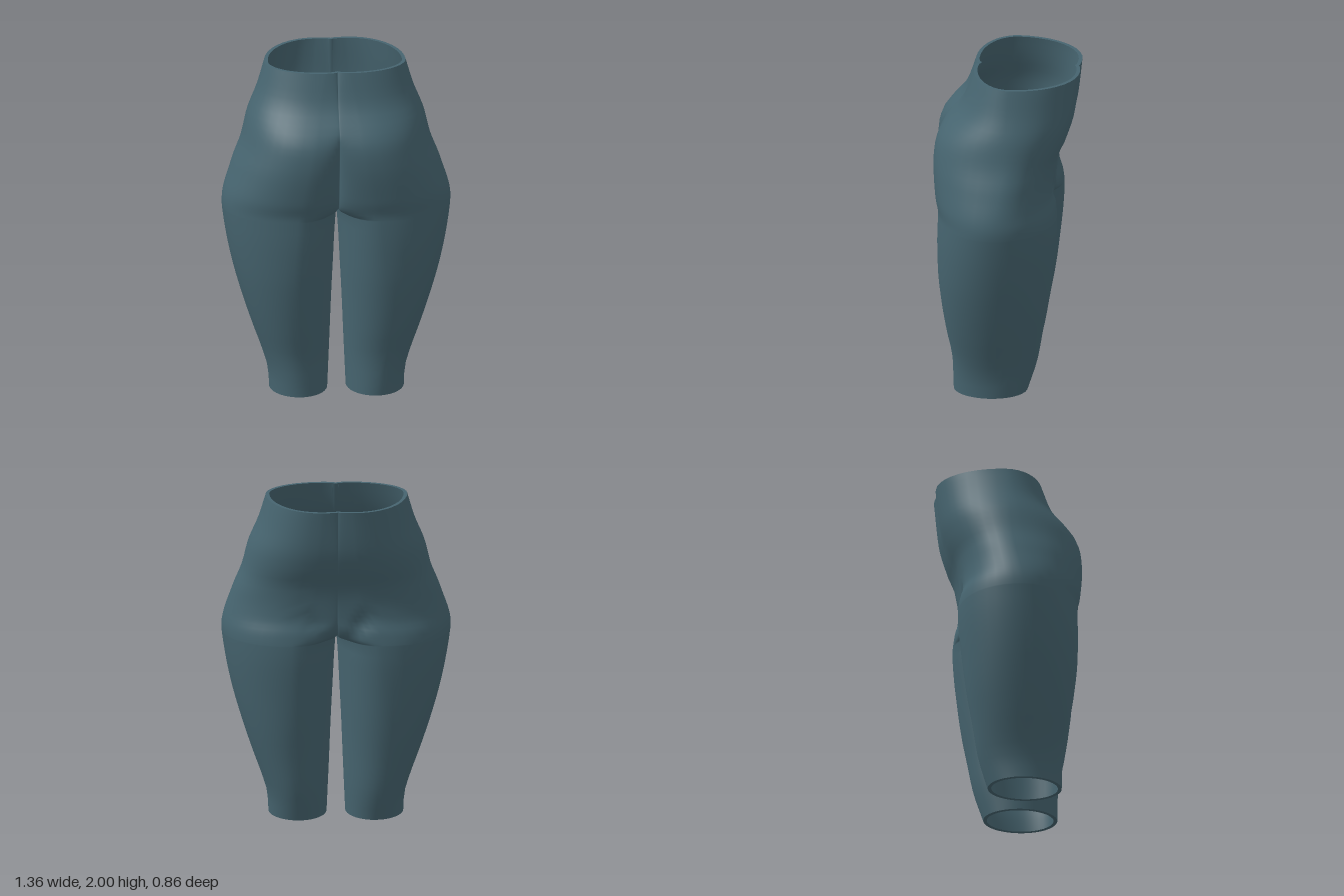
import * as THREE from 'three';
import { mergeVertices } from 'three/addons/utils/BufferGeometryUtils.js';

const CROTCH = 1.13, WALL = 0.022;

// Smooth lookup through [height, value] pairs (monotone cubic)
function profile(...p) {
  const n = p.length;
  const d = p.slice(1).map((q, i) => (q[1] - p[i][1]) / (q[0] - p[i][0]));
  const m = p.map((_, i) => {
    if (i === 0) return d[0];
    if (i === n - 1) return d[n - 2];
    return d[i - 1] * d[i] <= 0 ? 0 : (2 * d[i - 1] * d[i]) / (d[i - 1] + d[i]);
  });
  return (y) => {
    let i = 0;
    while (i < n - 2 && y > p[i + 1][0]) i++;
    const h = p[i + 1][0] - p[i][0], t = (y - p[i][0]) / h, s = 1 - t;
    return p[i][1] * (1 + 2 * t) * s * s + m[i] * h * t * s * s
      + p[i + 1][1] * t * t * (3 - 2 * t) - m[i + 1] * h * t * t * s;
  };
}

// Outer hip and thigh width, and the gap between the legs
const outerX = profile([0, 0.4], [0.1, 0.405], [0.2, 0.43], [0.4, 0.5], [0.6, 0.565], [0.8, 0.62],
  [1, 0.66], [1.17, 0.68], [1.4, 0.62], [1.55, 0.562], [1.7, 0.525], [1.85, 0.465], [2, 0.42]);
const innerX = profile([0, 0.055], [0.3, 0.042], [0.6, 0.03], [0.8, 0.02], [1, 0.01], [CROTCH, 0]);
// Fullest depth at the back (+z) and the front (-z)
const backZ = profile([0, 0.31], [0.2, 0.315], [0.4, 0.35], [0.6, 0.38], [0.8, 0.4], [1, 0.405],
  [1.15, 0.4], [1.25, 0.418], [1.45, 0.433], [1.55, 0.425], [1.63, 0.4], [1.7, 0.35], [1.8, 0.27], [2, 0.2]);
const frontZ = profile([0, -0.13], [0.2, -0.19], [0.4, -0.225], [0.6, -0.26], [0.8, -0.285], [1, -0.305],
  [1.1, -0.31], [1.2, -0.3], [1.28, -0.282], [1.4, -0.29], [1.5, -0.31], [1.6, -0.355], [1.75, -0.4], [2, -0.43]);
// Where across the width those depths, and the widest point, are found
const backX = profile([0, 0.225], [0.6, 0.28], [1.1, 0.25], [1.5, 0.18], [2, 0.08]);
const frontX = profile([0, 0.225], [0.6, 0.28], [1.15, 0.27], [1.4, 0.16], [2, 0.1]);
const sideZ = profile([0, 0.09], [CROTCH, 0.06], [1.5, 0], [2, -0.03]);
// Centre line of the torso: cleft at the back, belly at the front
const centreBackZ = profile([CROTCH, 0.06], [1.15, 0.19], [1.19, 0.27], [1.25, 0.3], [1.4, 0.33], [1.55, 0.365],
  [1.65, 0.375], [1.7, 0.345], [1.8, 0.262], [2, 0.18]);
const centreFrontZ = profile([CROTCH, 0.06], [1.145, -0.1], [1.18, -0.2], [1.25, -0.262], [1.4, -0.285],
  [1.5, -0.31], [1.6, -0.352], [1.75, -0.395], [2, -0.415]);

// One half's cross-section, from back centre round the outside to front centre
function section(y) {
  const torso = y >= CROTCH;
  const w = outerX(y), zs = sideZ(y), xi = torso ? 0 : innerX(y);
  const pts = [];
  const quarter = (px, z, endX, endZ, n, reverse, skip) => {
    for (let k = skip ? 1 : 0; k <= n; k++) {
      const a = ((reverse ? n - k : k) / n) * Math.PI / 2;
      pts.push([px + (endX - px) * Math.sin(a), y, endZ + (z - endZ) * Math.cos(a)]);
    }
  };
  const bx = backX(y), bz = backZ(y), fx = frontX(y), fz = frontZ(y);
  quarter(bx, bz, xi, torso ? centreBackZ(y) : zs, 9, true, false);
  quarter(bx, bz, w, zs, 10, false, true);
  quarter(fx, fz, w, zs, 10, true, true);
  quarter(fx, fz, xi, torso ? centreFrontZ(y) : zs, 9, false, true);
  // Groin crease running up and outward across the front
  const fade = Math.max(0, 1 - Math.abs(y - 1.25) / 0.17);
  for (const p of pts) {
    if (p[2] > -0.1) continue;
    const off = (p[0] - 0.08 - (y - 1.15) * 0.6) / 0.045;
    p[2] += 0.025 * fade * Math.exp(-off * off);
  }
  return pts;
}

// Outer skin: two mirrored halves welded along the centre line
function skin() {
  const heights = [];
  for (let i = 0; i < 16; i++) heights.push(CROTCH * i / 16);
  for (let i = 0; i <= 26; i++) heights.push(CROTCH + (2 - CROTCH) * Math.pow(i / 26, 1.5));
  const rows = heights.map(section), n = rows[0].length;
  const pos = [], index = [];
  for (const side of [1, -1]) {
    const base = pos.length / 3;
    for (const row of rows) for (const [x, y, z] of row) pos.push(x * side, y, z);
    for (let j = 0; j < rows.length - 1; j++) {
      for (let i = 0; i < n - 1; i++) {
        const a = base + j * n + i, b = a + 1, c = b + n, d = a + n;
        if (side > 0) index.push(a, b, c, a, c, d);
        else index.push(a, c, b, a, d, c);
      }
    }
  }
  const g = new THREE.BufferGeometry();
  g.setAttribute('position', new THREE.Float32BufferAttribute(pos, 3));
  g.setIndex(index);
  const welded = mergeVertices(g, 1e-4);
  welded.computeVertexNormals();
  return welded;
}

// Inner wall: the skin moved inward and turned inside out
function lining(outer) {
  const g = outer.clone(), p = g.attributes.position, nrm = outer.attributes.normal;
  for (let i = 0; i < p.count; i++) {
    const y = p.getY(i), edge = y < 1e-4 || y > 1.9999;
    p.setXYZ(i, p.getX(i) - nrm.getX(i) * WALL, edge ? y : y - nrm.getY(i) * WALL, p.getZ(i) - nrm.getZ(i) * WALL);
  }
  const ix = g.index.array;
  for (let i = 0; i < ix.length; i += 3) [ix[i + 1], ix[i + 2]] = [ix[i + 2], ix[i + 1]];
  g.computeVertexNormals();
  return g;
}

// Rims: strips joining skin and lining along every open edge
function rims(outer, inner) {
  const ix = outer.index.array, edges = new Set(), pos = [], index = [];
  const each = (fn) => {
    for (let i = 0; i < ix.length; i += 3) for (let k = 0; k < 3; k++) fn(ix[i + k], ix[i + (k + 1) % 3]);
  };
  each((a, b) => edges.add(a + '_' + b));
  const add = (g, i) => pos.push(...new THREE.Vector3().fromBufferAttribute(g.attributes.position, i).toArray());
  each((a, b) => {
    if (a === b || edges.has(b + '_' + a)) return;
    const s = pos.length / 3;
    add(outer, a); add(outer, b); add(inner, b); add(inner, a);
    index.push(s, s + 2, s + 1, s, s + 3, s + 2);
  });
  const g = new THREE.BufferGeometry();
  g.setAttribute('position', new THREE.Float32BufferAttribute(pos, 3));
  g.setIndex(index);
  g.computeVertexNormals();
  return g;
}

export function createModel() {
  const group = new THREE.Group();
  group.name = 'lowerTorsoForm';
  const teal = new THREE.MeshStandardMaterial({ color: 0x46646f });
  teal.name = 'slate teal';
  const outer = skin(), inner = lining(outer);
  const parts = { outerSkin: outer, innerLining: inner, openingRims: rims(outer, inner) };
  for (const [name, geometry] of Object.entries(parts)) {
    const mesh = new THREE.Mesh(geometry, teal);
    mesh.name = name;
    group.add(mesh);
  }
  return group;
}
